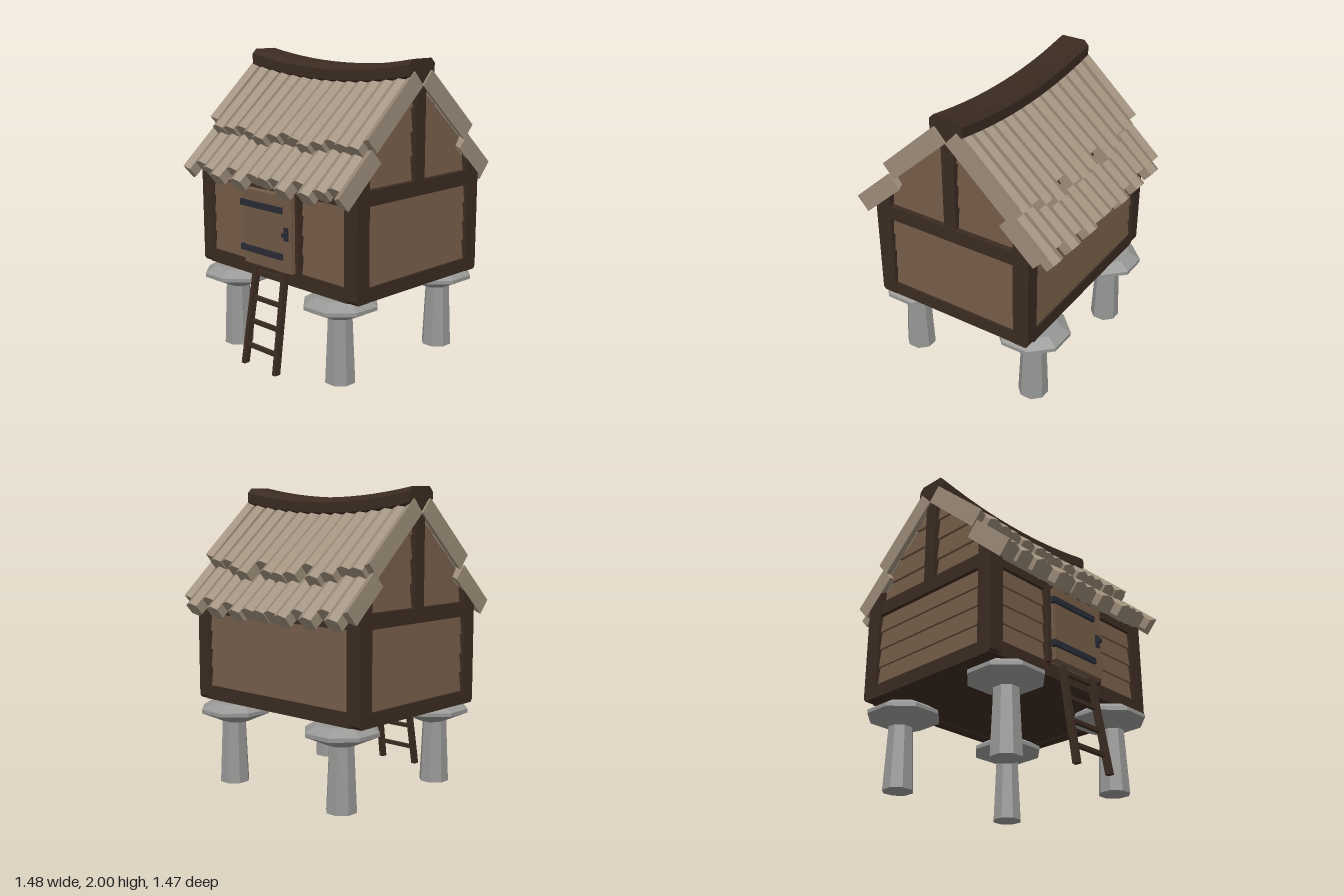
import * as THREE from 'three';

const mat = (name, color) => {
  const m = new THREE.MeshStandardMaterial({ color, flatShading: true });
  m.name = name;
  return m;
};

export function createModel() {
  const wall = mat('wall wood', 0x725a47);
  const dark = mat('dark timber', 0x3b2b21);
  const shingle = mat('weathered roof wood', 0x9d8d7a);
  const stone = mat('stone', 0x979796);
  const iron = mat('iron', 0x2a2c35);

  const model = new THREE.Group();
  model.name = 'storehouse';

  const add = (parent, name, geo, material, x = 0, y = 0, z = 0) => {
    const m = new THREE.Mesh(geo, material);
    m.name = name;
    m.position.set(x, y, z);
    parent.add(m);
    return m;
  };
  // box given by its extents
  const box = (parent, name, material, x0, x1, y0, y1, z0, z1) =>
    add(parent, name, new THREE.BoxGeometry(x1 - x0, y1 - y0, z1 - z0), material,
      (x0 + x1) / 2, (y0 + y1) / 2, (z0 + z1) / 2);
  const extrude = (pts, depth, steps = 1) =>
    new THREE.ExtrudeGeometry(new THREE.Shape(pts.map(p => new THREE.Vector2(...p))),
      { depth, steps, bevelEnabled: false });
  const lathe = pts => new THREE.LatheGeometry(pts.map(p => new THREE.Vector2(...p)), 8);
  const group = (name, turn = 0) => {
    const g = new THREE.Group();
    g.name = name;
    g.rotation.y = turn;
    model.add(g);
    return g;
  };

  // Stone stilts with mushroom caps
  const postStone = lathe([[0, 0], [0.102, 0], [0.082, 0.44], [0, 0.44]]);
  const capStone = lathe([[0, 0.42], [0.085, 0.42], [0.245, 0.49], [0.245, 0.515], [0.17, 0.56], [0, 0.568]]);
  for (const x of [-1, 1])
    for (const z of [-1, 1]) {
      add(model, 'stilt', postStone, stone, x * 0.499, 0, z * 0.474).rotation.y = Math.PI / 8;
      add(model, 'stiltCap', capStone, stone, x * 0.489, 0, z * 0.461).rotation.y = Math.PI / 8;
    }

  // Body core and floor
  box(model, 'floor and core', dark, -0.69, 0.69, 0.57, 1.17, -0.53, 0.53);

  // Corner posts, tops cut to the roof slope
  const postGeo = extrude([[0.465, 0.565], [0.56, 0.565], [0.575, 0.585],
    [0.575, 1.24], [0.465, 1.38]], 0.1);
  for (const turn of [0, Math.PI]) {
    const side = group('cornerPosts', turn);
    for (const x of [-0.635, 0.735])
      add(side, 'cornerPost', postGeo, dark, x).rotation.y = -Math.PI / 2;
  }

  // Lap boards, each leaning back so its lower edge stands proud
  const siding = (parent, y0, y1, count, halfAt, z) => {
    const h = (y1 - y0) / count;
    for (let i = 0; i < count; i++) {
      const a = halfAt(y0 + i * h), b = halfAt(y0 + (i + 1) * h);
      const geo = extrude([[-a, 0], [a, 0], [b, h], [-b, h]], 0.03);
      geo.translate(0, 0, -0.03);
      add(parent, 'wallBoard', geo, wall, 0, y0 + i * h, z).rotation.x = -0.11;
    }
  };

  // Long walls
  for (const turn of [0, Math.PI]) {
    const g = group('longWall', turn);
    siding(g, 0.66, 1.165, 4, () => 0.627, 0.562);
    box(g, 'sillBeam', dark, -0.66, 0.66, 0.565, 0.66, 0.48, 0.572);
    box(g, 'topBeam', dark, -0.66, 0.66, 1.155, 1.21, 0.48, 0.572);
    for (const s of [-1, 1])
      box(g, 'edgeTrim', dark, s * 0.635 - 0.012, s * 0.635 + 0.012, 0.65, 1.17, 0.5, 0.568);
  }

  // End walls and gables
  const gableHalf = y => Math.max(0.002, Math.min(0.47, (1.85 - y) / 0.9));
  for (const turn of [Math.PI / 2, -Math.PI / 2]) {
    const g = group('endWall', turn);
    siding(g, 0.655, 1.165, 4, () => 0.462, 0.718);
    box(g, 'sillBeam', dark, -0.47, 0.47, 0.565, 0.655, 0.64, 0.732);
    box(g, 'tieBeam', dark, -0.47, 0.47, 1.155, 1.25, 0.6, 0.732);
    siding(g, 1.25, 1.85, 4, gableHalf, 0.695);
    box(g, 'kingPost', dark, -0.045, 0.045, 1.25, 1.86, 0.64, 0.722);
  }

  // Door with frame, iron straps and latch
  const door = group('door');
  for (const x of [-0.24, 0.237])
    box(door, 'doorPost', dark, x - 0.015, x + 0.015, 0.65, 1.17, 0.55, 0.597);
  for (let i = 0; i < 3; i++) {
    const x = -0.225 + i * 0.15;
    box(door, 'doorBoard', wall, x, x + 0.15, 0.665, 1.155, 0.57, 0.63);
  }
  for (const y of [0.765, 1.063])
    box(door, 'hingeStrap', iron, -0.25, 0.15, y - 0.02, y + 0.02, 0.615, 0.645);
  box(door, 'latchPlate', iron, 0.167, 0.2, 0.875, 0.96, 0.625, 0.64);
  box(door, 'latchKnob', iron, 0.173, 0.194, 0.905, 0.93, 0.63, 0.665);

  // Ladder leaning on the sill
  const ladder = group('ladder');
  const lean = y => 0.703 - y * 0.155;
  for (const s of [-1, 1]) {
    const rail = extrude([[-0.685, 0], [-0.727, 0], [-0.625, 0.65], [-0.583, 0.65]].reverse(), 0.032);
    rail.rotateY(Math.PI / 2);
    rail.translate(-0.016, 0, 0);
    const p = rail.attributes.position;
    for (let i = 0; i < p.count; i++)
      p.setX(i, p.getX(i) + s * (0.152 - 0.025 * p.getY(i)));
    add(ladder, 'rail', rail, dark);
  }
  for (const y of [0.125, 0.285, 0.44, 0.61])
    box(ladder, 'rung', dark, -0.145, 0.145, y - 0.013, y + 0.013, lean(y) - 0.013, lean(y) + 0.013);

  // Roof of six-sided staves in two tiers, sagging at the ridge and less at the eaves
  const dip = x => 1 - (x / 0.735) ** 2;
  const sag = x => -0.068 * dip(x);
  const W = 0.0527, R = 0.0608, S = 0.038, step = 2 * W;
  const hex = [[0, -R], [W, -S], [W, S], [0, R], [-W, S], [-W, -S]];
  const stave = (parent, k, y0, start, zEnd) => {
    // outermost staves are halved, flat face outward
    const pts = Math.abs(k) < 7 ? hex
      : k > 0 ? [hex[0], hex[3], hex[4], hex[5]] : [hex[0], hex[1], hex[2], hex[3]];
    const x = k * step;
    const pitch = THREE.MathUtils.degToRad(42 - 2.6 * dip(x));
    const end = (zEnd - 2 * R * Math.sin(pitch)) / Math.cos(pitch);
    const geo = extrude(pts, end - start);
    geo.translate(0, R, start);
    add(parent, 'roofStave', geo, shingle, x, y0 + sag(x), 0).rotation.x = pitch;
  };
  // eave reach of each stave, counted from the middle outward
  const slopes = [
    { name: 'frontRoof', turn: 0,
      upper: [0.49, 0.51, 0.54, 0.52, 0.5, 0.52, 0.53, 0.49],
      lower: [0.69, 0.68, 0.73, 0.67, 0.73, 0.7, 0.68, 0.73] },
    { name: 'backRoof', turn: Math.PI,
      upper: [0.56, 0.55, 0.49, 0.57, 0.545, 0.51, 0.52, 0.5],
      lower: [0.72, 0.715, 0.735, 0.69, 0.735, 0.68, 0.735, 0.69] },
  ];
  for (const s of slopes) {
    const g = group(s.name, s.turn);
    for (let k = -7; k <= 7; k++) {
      stave(g, k, 1.835, 0, s.upper[Math.abs(k)]);
      stave(g, k, 1.739, 0.5, s.lower[Math.abs(k)]);
    }
  }

  // Sagging ridge beam
  const ridge = extrude([[0, 1.83], [0.117, 1.9], [0.117, 1.968], [0.085, 2],
    [-0.085, 2], [-0.117, 1.968], [-0.117, 1.9]], 1.45, 14);
  ridge.rotateY(Math.PI / 2);
  ridge.translate(-0.725, 0, 0);
  const rp = ridge.attributes.position;
  for (let i = 0; i < rp.count; i++) rp.setY(i, rp.getY(i) + sag(rp.getX(i)));
  ridge.computeVertexNormals();
  add(model, 'ridgeBeam', ridge, dark);

  return model;
}
